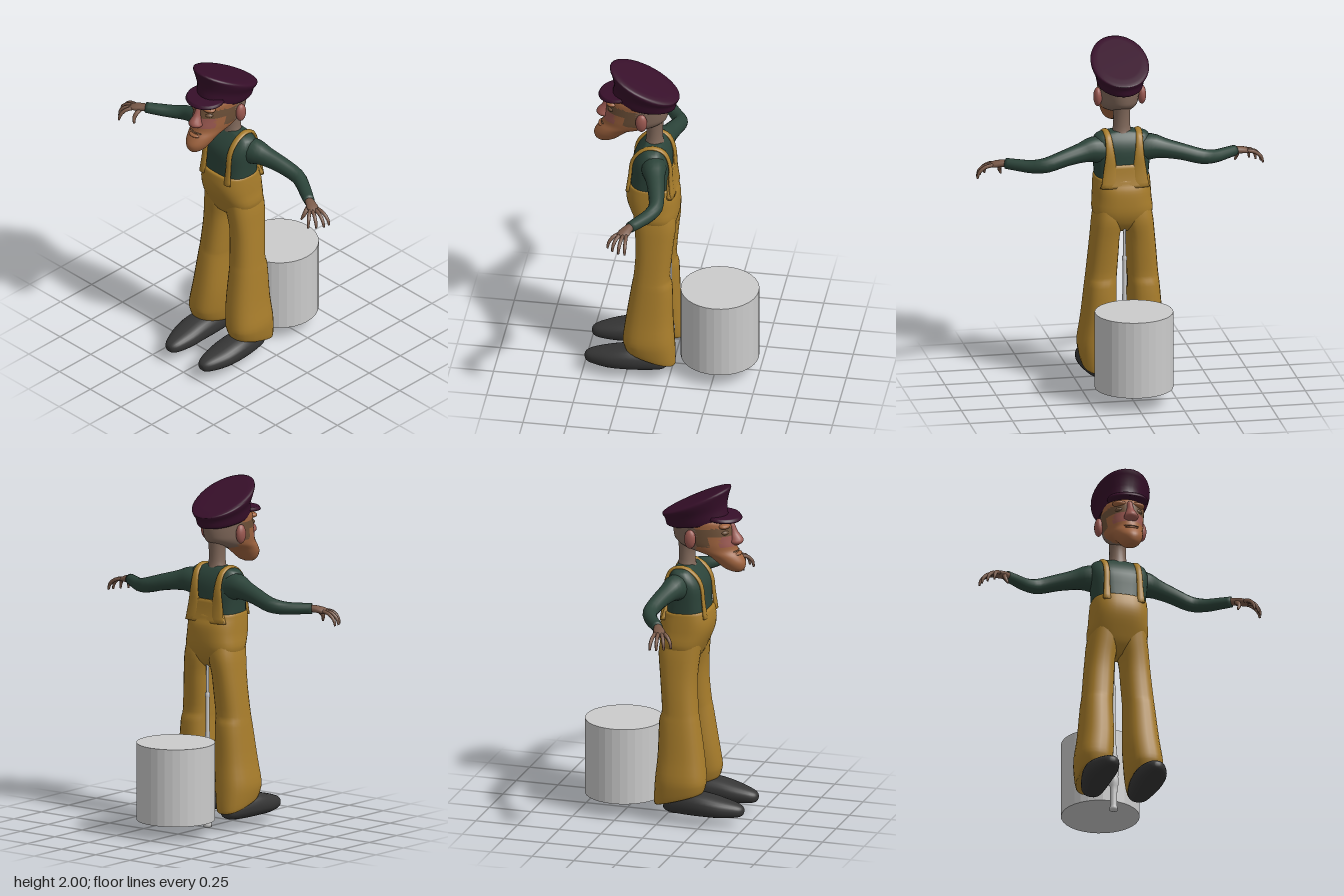
import * as THREE from 'three';

const mat = (name, color) => Object.assign(new THREE.MeshStandardMaterial({ color }), { name });
const M = {
  denim: mat('mustard overalls', 0xa87d2b),
  shirt: mat('green shirt', 0x2c443a),
  cap: mat('plum cap', 0x370f2a),
  shoe: mat('charcoal shoe', 0x363636),
  steel: mat('pale steel', 0xcbcbcb),
  face: mat('face skin', 0xa0643f),
  flush: mat('flushed skin', 0x9a5850),
  scalp: mat('scalp skin', 0x80685a),
  hand: mat('hand skin', 0x7a5a49),
  dark: mat('shadowed skin', 0x6e5139),
};

// Catmull-Rom interpolation of number rows
function smooth(rows, k = 3) {
  const out = [], at = i => rows[Math.max(0, Math.min(rows.length - 1, i))];
  for (let i = 0; i < rows.length - 1; i++)
    for (let s = 0; s < k; s++) {
      const u = s / k;
      out.push(rows[i].map((_, c) => {
        const [a, b, d, e] = [at(i - 1)[c], at(i)[c], at(i + 1)[c], at(i + 2)[c]];
        return b + 0.5 * u * (d - a + u * (2 * a - 5 * b + 4 * d - e + u * (3 * (b - d) + e - a)));
      }));
    }
  out.push(rows[rows.length - 1]);
  return out;
}

// Closed skin over rings of points; paint(centroid) picks a material per face
function skin(name, rings, materials, paint) {
  const n = rings[0].length, pts = rings.flat(), tris = [];
  const at = (i, j) => i * n + (j % n);
  for (let i = 0; i < rings.length - 1; i++)
    for (let j = 0; j < n; j++)
      tris.push([at(i, j), at(i, j + 1), at(i + 1, j + 1)], [at(i, j), at(i + 1, j + 1), at(i + 1, j)]);
  [0, rings.length - 1].forEach((i, end) => {
    const mid = rings[i].reduce((s, p) => s.add(p), new THREE.Vector3()).divideScalar(n);
    pts.push(mid);
    for (let j = 0; j < n; j++)
      tris.push(end ? [at(i, j), at(i, j + 1), pts.length - 1] : [at(i, j + 1), at(i, j), pts.length - 1]);
  });
  // keep faces pointing outwards
  const cross = new THREE.Vector3();
  const volume = tris.reduce((v, [a, b, c]) => v + pts[a].dot(cross.crossVectors(pts[b], pts[c])), 0);
  if (volume < 0) tris.forEach(t => t.reverse());

  const geo = new THREE.BufferGeometry().setFromPoints(pts);
  const list = [].concat(materials), bins = list.map(() => []);
  for (const t of tris) {
    const c = new THREE.Vector3();
    t.forEach(i => c.addScaledVector(pts[i], 1 / 3));
    bins[paint ? paint(c) : 0].push(...t);
  }
  geo.setIndex(bins.flat());
  let start = 0;
  if (paint) bins.forEach((b, i) => { geo.addGroup(start, b.length, i); start += b.length; });
  geo.computeVertexNormals();
  const mesh = new THREE.Mesh(geo, paint ? list : list[0]);
  mesh.name = name;
  return mesh;
}

// Rows [t, x0, x1, b0, b1, slant] stacked along y (b is z) or along z (b is y)
function loft(name, rows, material, { axis = 'y', p = 2, n = 24, side = 1, k = 3, paint } = {}) {
  const pw = v => Math.sign(v) * Math.abs(v) ** (2 / p);
  const rings = smooth(rows.map(r => [...r, 0].slice(0, 6)), k).map(([t, x0, x1, b0, b1, slant]) =>
    Array.from({ length: n }, (_, j) => {
      const a = j / n * Math.PI * 2, db = pw(Math.sin(a)) * (b1 - b0) / 2;
      const x = side * ((x0 + x1) / 2 + pw(Math.cos(a)) * (x1 - x0) / 2), b = (b0 + b1) / 2 + db, h = t + slant * db;
      return axis === 'y' ? new THREE.Vector3(x, h, b) : new THREE.Vector3(x, b, h);
    }));
  return skin(name, rings, material, paint);
}

// Rows [x, y, z, radius along ref, radius across] swept along their path
function sweep(name, rows, material, ref, side = 1, n = 12) {
  const s = smooth(rows), pos = s.map(r => new THREE.Vector3(...r));
  const rings = s.map((r, i) => {
    const T = pos[Math.min(i + 1, s.length - 1)].clone().sub(pos[Math.max(i - 1, 0)]).normalize();
    const B = ref.clone().addScaledVector(T, -ref.dot(T)).normalize(), N = T.clone().cross(B);
    return Array.from({ length: n }, (_, j) => {
      const a = j / n * Math.PI * 2;
      const q = pos[i].clone().addScaledVector(B, Math.cos(a) * r[3]).addScaledVector(N, Math.sin(a) * r[4]);
      q.x *= side;
      return q;
    });
  });
  return skin(name, rings, material);
}

function ball(name, material, [x, y, z], [rx, ry, rz]) {
  const mesh = new THREE.Mesh(new THREE.SphereGeometry(1, 16, 12).scale(rx, ry, rz), material);
  mesh.position.set(x, y, z);
  mesh.name = name;
  return mesh;
}

function createModel() {
  const g = new THREE.Group();
  g.name = 'man in overalls with barrel';
  const X = new THREE.Vector3(1, 0, 0), Z = new THREE.Vector3(0, 0, 1);

  // Trunk
  g.add(loft('shirt', [[1.18, -.15, .15, 0, .245], [1.3, -.158, .158, .008, .237], [1.4, -.168, .168, .01, .23],
    [1.46, -.165, .165, .025, .2], [1.5, -.14, .14, .05, .165], [1.515, -.06, .06, .065, .15]], M.shirt, { p: 2.8, n: 32 }));
  g.add(loft('overallsTrunk', [[.93, -.07, .07, .03, .14], [.97, -.13, .13, -.01, .19], [1.04, -.172, .172, -.037, .225],
    [1.12, -.168, .168, -.04, .258], [1.18, -.165, .165, -.035, .268], [1.225, -.162, .162, -.022, .262, .06],
    [1.25, -.158, .158, -.015, .255, .05], [1.251, -.14, .14, 0, .24, .05]], M.denim, { p: 2.6, n: 32 }));
  g.add(loft('backPanel', [[1.2, -.145, .145, -.025, .03], [1.26, -.12, .12, -.012, .03], [1.33, -.09, .09, -.003, .03]],
    M.denim, { p: 3 }));

  // Neck and head
  g.add(loft('neck', [[1.47, -.075, .075, .04, .17], [1.52, -.052, .052, .058, .158], [1.6, -.048, .048, .06, .155],
    [1.68, -.055, .055, .05, .18]], M.scalp));
  const paint = c => {
    if (c.z < .19) return 1;
    if (c.y > 1.715 && c.y < 1.765 && c.z > .27) return 3;
    if (c.y > 1.65 && c.y < 1.72 && c.z > .33) return 2;
    return c.z < .27 && c.y > 1.65 && c.y < 1.76 ? 3 : 0;
  };
  g.add(loft('head', [[1.495, -.025, .025, .37, .435], [1.515, -.05, .05, .325, .452], [1.55, -.07, .07, .28, .457],
    [1.59, -.085, .085, .22, .435], [1.625, -.1, .1, .1, .41], [1.66, -.11, .11, .045, .402], [1.7, -.115, .115, .03, .392],
    [1.76, -.12, .12, .025, .38], [1.8, -.12, .12, .03, .365], [1.84, -.1, .1, .05, .32]],
  [M.face, M.scalp, M.flush, M.dark], { n: 40, k: 4, paint }));
  g.add(loft('nose', [[1.652, -.018, .018, .37, .418], [1.672, -.042, .042, .36, .442], [1.695, -.034, .034, .36, .44],
    [1.73, -.022, .022, .35, .412], [1.78, -.016, .016, .34, .39]], M.flush, { n: 16 }));
  g.add(ball('mouth', M.dark, [0, 1.618, .4], [.045, .006, .016]));
  g.add(ball('lowerLip', M.face, [0, 1.602, .41], [.04, .012, .024]));

  // Peaked cap
  g.add(loft('cap', [[1.768, -.125, .125, .01, .34, .18], [1.785, -.132, .132, -.012, .35, .22], [1.83, -.142, .142, -.02, .342, .28],
    [1.875, -.163, .163, -.033, .353, .38], [1.905, -.162, .162, -.03, .365, .46], [1.913, -.12, .12, .02, .32, .47]],
  M.cap, { n: 36 }));
  g.add(loft('capPeak', [[1.803, -.105, .105, .23, .425, -.05], [1.812, -.118, .118, .22, .432, -.05],
    [1.83, -.11, .11, .22, .42, -.05]], M.cap, { n: 28 }));

  for (const side of [1, -1]) {
    const tag = side > 0 ? 'left' : 'right';
    const o = { side };
    g.add(ball(tag + 'Ear', M.flush, [side * .128, 1.7, .165], [.025, .056, .034]));
    g.add(ball(tag + 'Brow', M.face, [side * .05, 1.775, .345], [.045, .018, .035]));
    g.add(ball(tag + 'Eye', M.dark, [side * .05, 1.735, .345], [.03, .016, .026]));

    // Strap over the shoulder, widening down the back
    g.add(sweep(tag + 'Strap', [[.1, 1.22, .248, .024, .012], [.098, 1.32, .236, .019, .01], [.096, 1.42, .222, .018, .01],
      [.096, 1.485, .175, .018, .01], [.095, 1.514, .105, .018, .01], [.09, 1.485, .036, .02, .01],
      [.085, 1.4, .006, .026, .01], [.085, 1.3, .002, .04, .012], [.085, 1.2, -.008, .055, .014]], M.denim, X, side));

    // Trouser leg with a slanted hem
    g.add(loft(tag + 'TrouserLeg', [[1.08, .01, .16, -.02, .22], [1, .0, .175, -.03, .212], [.9, .018, .185, -.02, .202],
      [.8, .024, .195, -.01, .2], [.66, .032, .208, 0, .21], [.6, .035, .215, -.014, .22], [.4, .032, .235, -.02, .25],
      [.27, .04, .254, -.03, .266], [.2, .05, .25, -.036, .262, .15], [.145, .065, .238, -.036, .25, .3],
      [.15, .08, .225, -.02, .235, .3]], M.denim, { ...o, p: 2.4 }));
    g.add(loft(tag + 'Shoe', [[.018, .1, .17, .07, .11], [.05, .075, .2, .055, .16], [.15, .063, .225, .05, .19],
      [.25, .06, .235, .05, .187], [.35, .062, .225, .05, .165], [.44, .08, .192, .056, .14], [.478, .1, .168, .066, .122],
      [.49, .12, .147, .085, .107]], M.shoe, { ...o, axis: 'z', p: 2.3 }));

    // Sleeve and hand
    g.add(sweep(tag + 'Sleeve', [[.09, 1.4, .1, .075, .08], [.17, 1.41, .085, .07, .075], [.24, 1.4, .068, .055, .058],
      [.34, 1.38, .045, .047, .048], [.45, 1.35, .03, .042, .044], [.53, 1.336, .062, .038, .038],
      [.6, 1.336, .105, .036, .034], [.665, 1.338, .145, .031, .031]], M.shirt, Z, side, 16));
    g.add(sweep(tag + 'Palm', [[.64, 1.338, .135, .022, .022], [.68, 1.337, .153, .028, .021], [.72, 1.33, .172, .036, .018],
      [.75, 1.322, .185, .032, .013]], M.hand, Z, side));
    const fingers = [[.74, .155, .83, .15], [.745, .173, .825, .187], [.738, .192, .802, .225], [.725, .2, .77, .258]];
    fingers.forEach(([x0, z0, x1, z1], i) => {
      const mix = (a, b, u) => a + (b - a) * u;
      g.add(sweep(tag + 'Finger' + (i + 1), [[x0, 1.328, z0, .011, .011], [mix(x0, x1, .5), 1.318, mix(z0, z1, .5), .011, .011],
        [mix(x0, x1, .88), 1.29, mix(z0, z1, .88), .01, .01], [x1, 1.255, z1, .006, .006]], M.hand, new THREE.Vector3(-.4, 0, 1), side, 8));
    });
    g.add(sweep(tag + 'Thumb', [[.685, 1.33, .165, .014, .014], [.69, 1.31, .195, .013, .013], [.69, 1.285, .215, .011, .011],
      [.68, 1.257, .225, .006, .006]], M.hand, X, side, 8));
  }

  // Telescopic support rod
  const profile = [[0, 0], [.024, 0], [.024, .015], [.019, .03], [.021, .12], [.021, .15], [.029, .16], [.029, .2], [.024, .21],
    [.028, .22], [.028, .26], [.019, .28], [.022, .34], [.019, .36], [.018, .4], [.014, .41], [.014, .55], [.011, .56],
    [.011, .75], [.014, .76], [.014, .78], [.008, .785], [.008, 1]];
  const rod = new THREE.Mesh(new THREE.LatheGeometry(profile.map(p => new THREE.Vector2(...p)), 14), M.steel);
  rod.name = 'supportRod';
  rod.position.z = .02;
  g.add(rod);

  // Faceted barrel behind
  const barrel = new THREE.Mesh(new THREE.CylinderGeometry(.225, .225, .45, 32).toNonIndexed(), M.steel);
  barrel.geometry.computeVertexNormals();
  barrel.name = 'barrel';
  barrel.position.set(0, .315, -.27);
  g.add(barrel);
  return g;
}

export { createModel };
